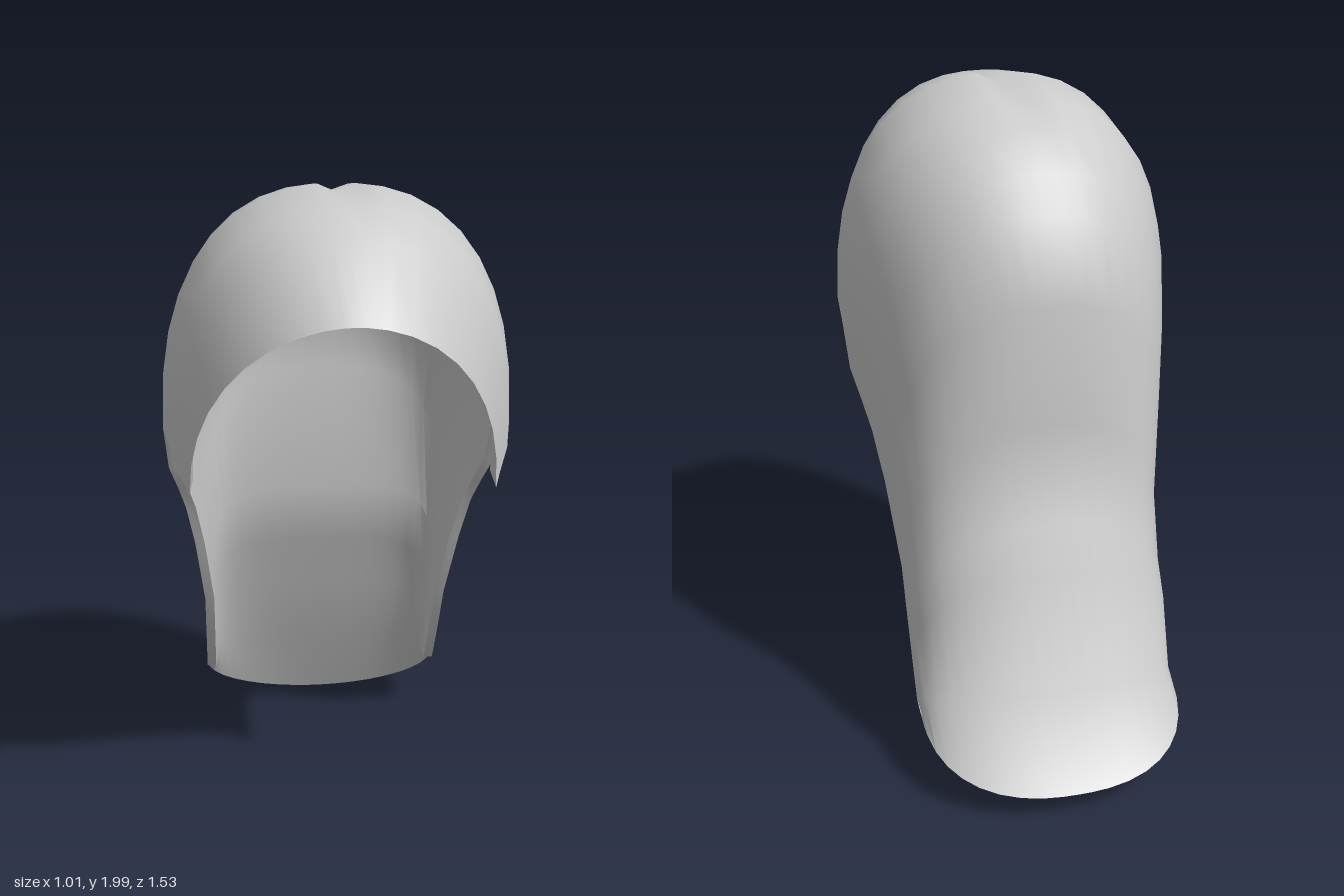
import * as THREE from 'three';
import { toCreasedNormals } from 'three/addons/utils/BufferGeometryUtils.js';

// Cross-sections from the forehead rim, over the crown, down to the hem.
// top / inner: [z, y] on the centre line of the outer and inner surface
// edge: [z, y] of the lower side edge, w: half width there
// n / m: roundness of the outer and inner arc, k: how far the arc sweeps back
const rows = [
  { top: [0.77, 1.72], inner: [0.77, 1.72], edge: [0.475, 1.18], w: 0.43, n: 2.0, m: 2.0, k: 1.6, wall: 0 },
  { top: [0.60, 1.91], inner: [0.61, 1.84], edge: [0.43, 1.215], w: 0.45, n: 2.3, k: 1.3 },
  { top: [0.44, 1.97], inner: [0.43, 1.92], edge: [0.39, 1.27], w: 0.475 },
  { top: [0.24, 2.00], inner: [0.24, 1.94], edge: [0.27, 1.315], w: 0.503, groove: 0.025 },
  { top: [0.00, 1.965], inner: [0.02, 1.91], edge: [0.16, 1.27], w: 0.505, groove: 0.02 },
  { top: [-0.15, 1.91], inner: [-0.12, 1.85], edge: [0.11, 1.14], w: 0.495 },
  { top: [-0.26, 1.82], inner: [-0.22, 1.75], edge: [0.05, 1.05], w: 0.47 },
  { top: [-0.35, 1.71], inner: [-0.29, 1.60], edge: [0.00, 0.97], w: 0.45 },
  { top: [-0.42, 1.48], inner: [-0.33, 1.33], edge: [-0.06, 0.82], w: 0.425, m: 3 },
  { top: [-0.39, 1.11], inner: [-0.24, 0.94], edge: [-0.17, 0.58], w: 0.40, m: 4 },
  { top: [-0.43, 0.80], inner: [-0.33, 0.72], edge: [-0.25, 0.44], w: 0.40, m: 4 },
  { top: [-0.50, 0.69], inner: [-0.39, 0.53], edge: [-0.31, 0.34], w: 0.40, m: 4 },
  { top: [-0.55, 0.31], inner: [-0.50, 0.27], edge: [-0.38, 0.23], w: 0.40, m: 3 },
  { top: [-0.765, 0.09], inner: [-0.62, 0.01], edge: [-0.43, 0.22], w: 0.40, m: 2, wall: 0 },
];

// Arc angles from the centre line to the side, mirrored
const half = [4, 11, 20, 30, 40, 50, 60, 70, 80, 90];
const angles = [...half.map((a) => -a).reverse(), 0, ...half];

function arc(row, centre, w, n, groove = 0) {
  const [ez, ey] = row.edge;
  return angles.map((deg) => {
    const a = THREE.MathUtils.degToRad(Math.abs(deg));
    const s = Math.sin(a) ** (2 / n);
    const c = Math.max(0, Math.cos(a)) ** (2 / n);
    return new THREE.Vector3(
      Math.sign(deg) * w * s,
      ey + (centre[1] - ey) * c - (deg === 0 ? groove : 0),
      ez + (centre[0] - ez) * c ** (row.k ?? 1),
    );
  });
}

// Closed loop: outer arc one way, inner arc back
function section(row, collapsed = false) {
  const inner = arc(row, row.inner, row.w - (row.wall ?? 0.03), row.m ?? 2.4);
  const outer = collapsed ? inner : arc(row, row.top, row.w, row.n ?? 2.4, row.groove);
  return [...outer, ...inner.slice().reverse()];
}

function loft(loops) {
  const pos = [];
  const e1 = new THREE.Vector3();
  const e2 = new THREE.Vector3();
  const tri = (a, b, c) => {
    e1.subVectors(b, a);
    e2.subVectors(c, a);
    if (e1.cross(e2).length() < 1e-7) return;
    for (const p of [a, b, c]) pos.push(p.x, p.y, p.z);
  };
  for (let i = 0; i < loops.length - 1; i++) {
    const A = loops[i];
    const B = loops[i + 1];
    for (let j = 0; j < A.length; j++) {
      const k = (j + 1) % A.length;
      tri(A[j], A[k], B[j]);
      tri(A[k], B[k], B[j]);
    }
  }
  const geo = new THREE.BufferGeometry();
  geo.setAttribute('position', new THREE.Float32BufferAttribute(pos, 3));
  return toCreasedNormals(geo, THREE.MathUtils.degToRad(50));
}

export function createModel() {
  const group = new THREE.Group();
  group.name = 'hairpiece';

  // Last loop folds the outer hem onto the inner one to close the bottom
  const loops = rows.map((r) => section(r));
  loops.push(section(rows[rows.length - 1], true));

  const hair = new THREE.Mesh(
    loft(loops),
    new THREE.MeshStandardMaterial({ color: 0xcccccc, side: THREE.DoubleSide }),
  );
  hair.name = 'hairShell';
  group.add(hair);
  return group;
}
